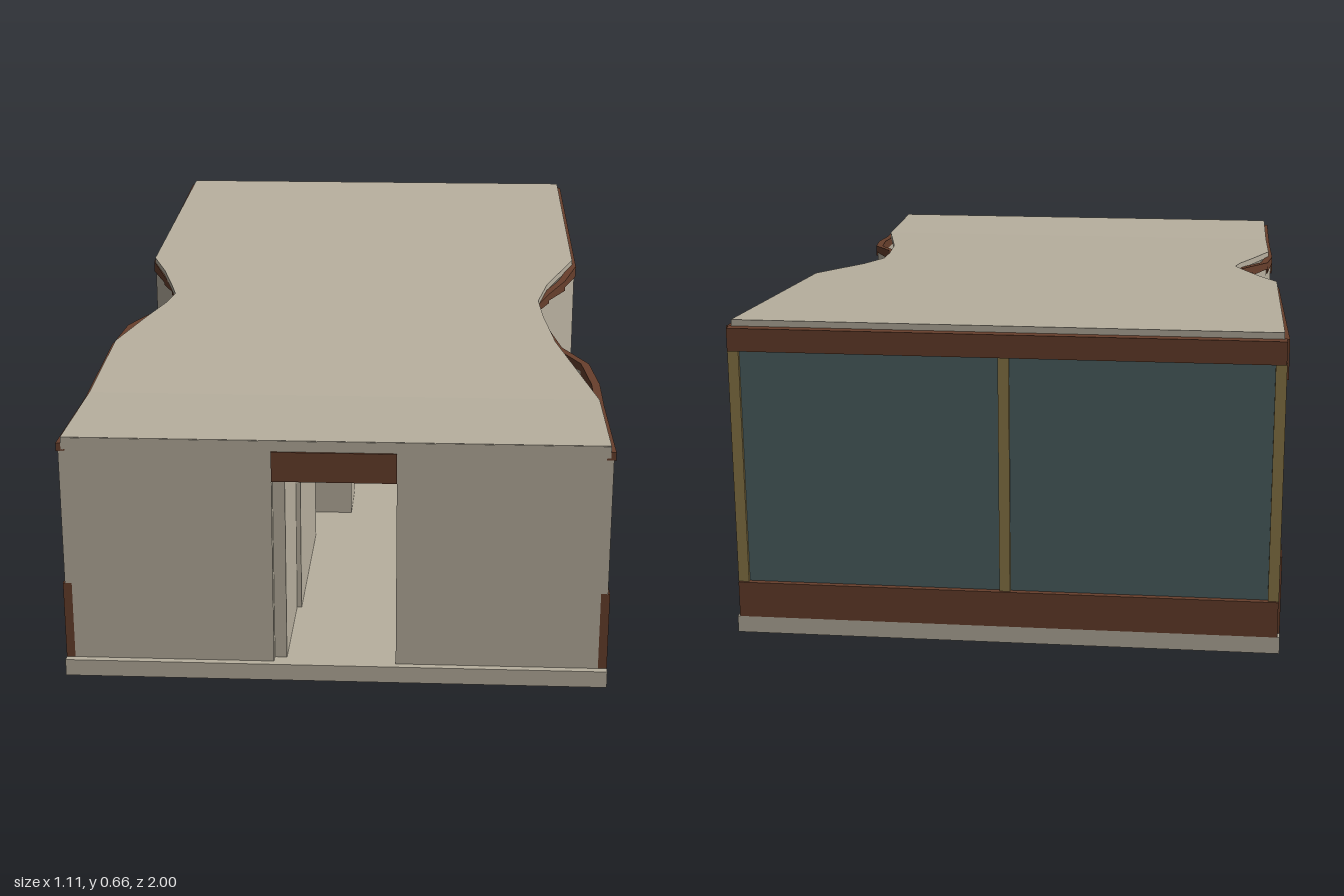
import * as THREE from 'three';

const mat = (name, color, side = THREE.FrontSide) => {
  const m = new THREE.MeshStandardMaterial({ color, side, flatShading: true });
  m.name = name;
  return m;
};

export function createModel() {
  const plaster = mat('plaster', 0xb8b09f);
  const wood = mat('brown wood', 0x673f2c);
  const glass = mat('teal glass', 0x4c6162);
  const gold = mat('ochre frame', 0x8c7848);
  const model = new THREE.Group();
  model.name = 'pavilion';

  const add = (name, geo, material) => {
    const m = new THREE.Mesh(geo, material);
    m.name = name;
    model.add(m);
    return m;
  };
  // Box given by its minimum and maximum on each axis
  const box = (name, material, x0, x1, y0, y1, z0, z1) => {
    const m = add(name, new THREE.BoxGeometry(x1 - x0, y1 - y0, z1 - z0), material);
    m.position.set((x0 + x1) / 2, (y0 + y1) / 2, (z0 + z1) / 2);
  };
  // Solid running from front to back through stations { z, x0, x1, b0, t0 };
  // each segment has its own lower and upper heights at its two ends
  const strip = (name, material, segments, caps) => {
    const pos = [];
    const quad = (a, b, c, d) => pos.push(...a, ...b, ...c, ...a, ...c, ...d);
    segments.forEach(([p, q], i) => {
      const ring = (s) => [
        [s.x0, s.b, s.z], [s.x1, s.b, s.z], [s.x1, s.t, s.z], [s.x0, s.t, s.z]];
      const f = ring(p), k = ring(q);
      for (let j = 0; j < 4; j++) {
        const n = (j + 1) % 4;
        quad(f[j], k[j], k[n], f[n]);
      }
      if (caps || i === 0) quad(f[0], f[1], f[2], f[3]);
      if (caps || i === segments.length - 1) quad(k[1], k[0], k[3], k[2]);
    });
    const g = new THREE.BufferGeometry();
    g.setAttribute('position', new THREE.Float32BufferAttribute(pos, 3));
    g.computeVertexNormals();
    add(name, g, material);
  };
  const pairs = (a) => a.slice(1).map((q, i) => [a[i], q]);

  // Roof height: level at the front, then rising to the back
  const roofY = (z) => 0.515 + Math.max(0, 0.69 - z) * 0.0868;
  // Linear lookup of x at z along a front-to-back path
  const xAt = (path, z) => {
    for (let i = 1; i < path.length; i++) {
      const [xa, za] = path[i - 1], [xb, zb] = path[i];
      if (z >= zb) return xa + (xb - xa) * (za - z) / (za - zb);
    }
    return path[path.length - 1][0];
  };

  // Floor slab
  box('floorSlab', plaster, -0.555, 0.555, 0, 0.035, -1, 1);

  // Roof with pinched sides
  const roofLeft = [[0.545, 0.985], [0.545, 0.69], [0.47, 0.35], [0.45, 0.18],
    [0.443, 0.07], [0.47, -0.05], [0.545, -0.25], [0.545, -0.98]];
  const roofRight = [[-0.545, 0.985], [-0.545, 0.38], [-0.5, 0.22], [-0.466, 0.11],
    [-0.455, 0.05], [-0.475, -0.02], [-0.51, -0.13], [-0.55, -0.23], [-0.545, -0.98]];
  const zs = [...new Set([...roofLeft, ...roofRight].map((p) => p[1]))].sort((a, b) => b - a);
  strip('roof', plaster, pairs(zs.map((z) => ({
    z, x0: xAt(roofRight, z), x1: xAt(roofLeft, z), b: roofY(z) - 0.015, t: roofY(z),
  }))), false);

  // Curved side walls: brown plinth, plaster band, stepped brown fascia
  const wallLeft = [[0.555, 0.985], [0.555, 0.69], [0.555, 0.57], [0.54, 0.45], [0.485, 0.35],
    [0.455, 0.2], [0.445, 0.06], [0.475, -0.02], [0.52, -0.12], [0.555, -0.24], [0.555, -0.98]];
  const wallRight = [[-0.555, 0.985], [-0.555, 0.69], [-0.555, 0.37], [-0.54, 0.24], [-0.5, 0.16],
    [-0.462, 0.08], [-0.455, 0.03], [-0.48, -0.05], [-0.51, -0.12], [-0.555, -0.24], [-0.555, -0.98]];
  for (const [side, path] of [['left', wallLeft], ['right', wallRight]]) {
    const s = Math.sign(path[0][0]);
    const band = (name, material, inset, bottom, top) =>
      strip(side + name, material, pairs(path).map(([p, q]) => {
        const level = roofY(p[1]) - 0.03;
        return [p, q].map(([x, z]) => {
          const outer = x - s * inset, inner = x - s * 0.018;
          return { z, x0: Math.min(outer, inner), x1: Math.max(outer, inner),
            b: bottom(z, level), t: top(z, level) };
        });
      }), true);
    band('Plinth', wood, 0, () => 0.035, () => 0.2);
    band('WallBand', plaster, 0.004, () => 0.2, (z, level) => level);
    band('Fascia', wood, 0, (z, level) => level, (z) => roofY(z) - 0.013);
  }

  // Front wall with doorway and lintel
  for (const s of [-1, 1]) {
    box('frontWall', plaster, s < 0 ? -0.545 : 0.125, s < 0 ? -0.125 : 0.545, 0.035, 0.49, 0.965, 0.985);
  }
  box('frontTrim', plaster, -0.545, 0.545, 0.49, 0.514, 0.965, 0.986);
  box('doorLintel', wood, -0.125, 0.125, 0.43, 0.492, 0.965, 0.99);

  // Open door and interior fittings
  box('openDoor', plaster, -0.125, -0.1, 0.035, 0.43, 0.72, 0.965);
  box('partition', plaster, -0.115, -0.09, 0.035, 0.39, 0.3, 0.72);
  box('counter', plaster, -0.3, -0.012, 0.035, 0.283, 0, 0.15);
  box('counterTop', wood, -0.3, -0.012, 0.283, 0.29, 0, 0.15);
  box('lowCabinet', wood, 0.095, 0.3, 0.035, 0.12, -0.9, -0.7);

  // Glazed back wall
  box('backSill', wood, -0.55, 0.55, 0.035, 0.11, -1, -0.975);
  box('backHeader', wood, -0.55, 0.55, 0.6, 0.647, -1, -0.975);
  box('backGlass', glass, -0.54, 0.54, 0.11, 0.6, -0.988, -0.98);
  for (const x of [-0.54, 0, 0.54]) {
    box('windowPost', gold, x - 0.011, x + 0.011, 0.11, 0.6, -0.995, -0.972);
  }
  return model;
}
